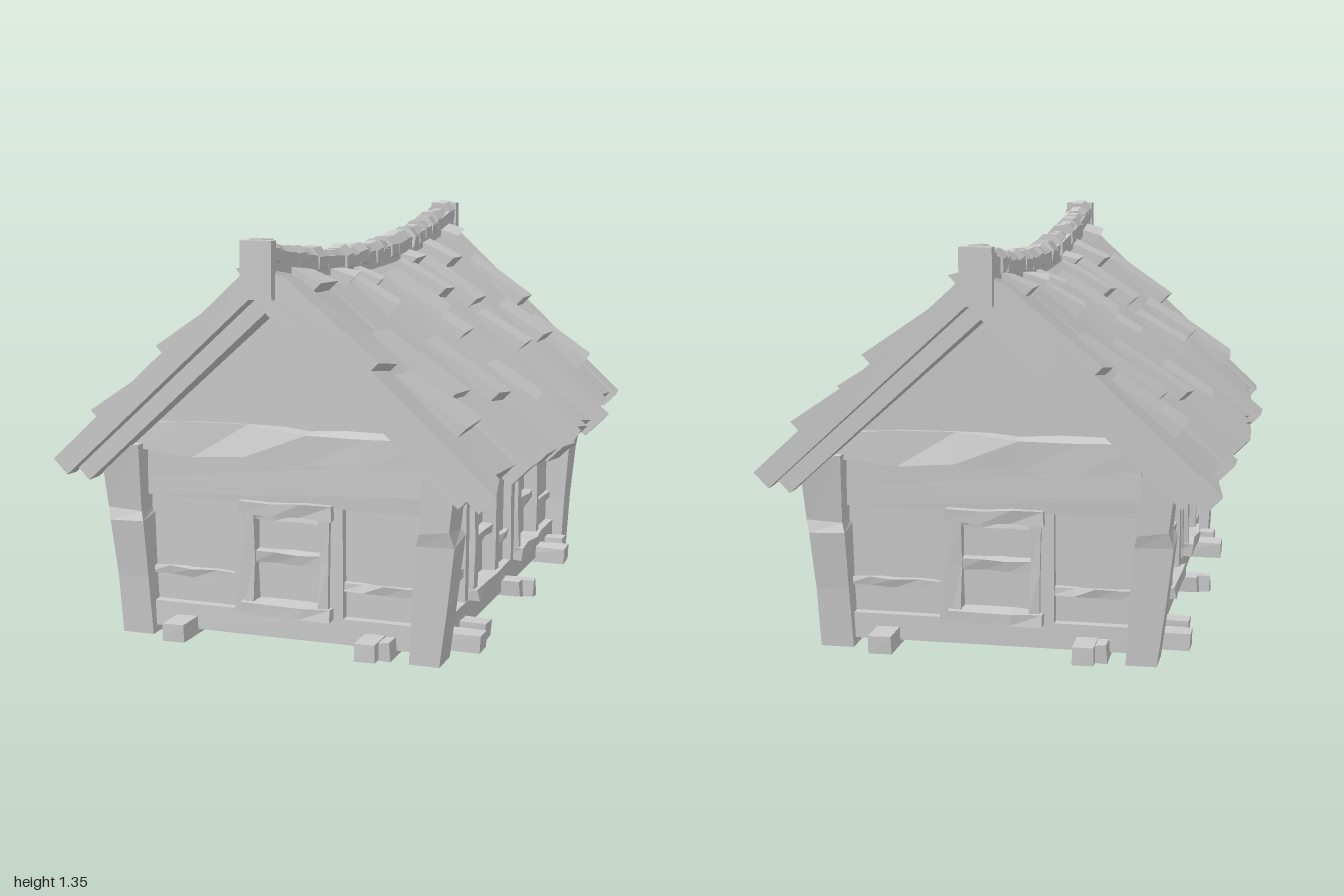
import * as THREE from 'three';

const mat = new THREE.MeshStandardMaterial({ color: 0xcccccc, flatShading: true, side: THREE.DoubleSide });
const lerp = THREE.MathUtils.lerp;

// Repeatable noise in -1..1
const noise = (a, b = 0, c = 0) => {
  const s = Math.sin(a * 127.1 + b * 311.7 + c * 74.7) * 43758.5453;
  return (s - Math.floor(s)) * 2 - 1;
};

// Move every vertex of a geometry by a rule
function bend(geo, rule) {
  const p = geo.attributes.position, v = new THREE.Vector3();
  for (let i = 0; i < p.count; i++) {
    rule(v.fromBufferAttribute(p, i));
    p.setXYZ(i, v.x, v.y, v.z);
  }
  geo.computeVertexNormals();
  return geo;
}

function add(parent, name, geo) {
  const mesh = new THREE.Mesh(geo, mat);
  mesh.name = name;
  parent.add(mesh);
  return mesh;
}

// Hand-hewn box between two corners
function hewn(parent, name, [x0, x1], [y0, y1], [z0, z1], rough = 0.004, segs = [1, 1, 1]) {
  const geo = new THREE.BoxGeometry(x1 - x0, y1 - y0, z1 - z0, ...segs);
  geo.translate((x0 + x1) / 2, (y0 + y1) / 2, (z0 + z1) / 2);
  const r = (n) => Math.round(n * 1000) / 1000;
  return add(parent, name, bend(geo, (v) => {
    const [a, b, c] = [r(v.x), r(v.y), r(v.z)];
    v.x += noise(a, b, c) * rough;
    v.y += noise(b, c, a) * rough;
    v.z += noise(c, a, b) * rough;
  }));
}

// Sagging roof surface of the +x slope
const EAVE_X = 0.76, EAVE_Y = 0.57;
const ridgeY = (z) => 1.29 - 0.09 * (1 - Math.min(1, (z / 0.97) ** 2));
const roofY = (x, z) => lerp(ridgeY(z), EAVE_Y, x / EAVE_X);
const roofX = (y, z) => EAVE_X * (ridgeY(z) - y) / (ridgeY(z) - EAVE_Y);

// Slab lying on the slope; heights are measured square to the roof
function slopeSlab(parent, name, [z0, z1], [x0, x1], low, top, nz = 1, skew = 0) {
  const geo = new THREE.BoxGeometry(1, 1, 1, 3, 1, nz);
  return add(parent, name, bend(geo, (v) => {
    const u = v.x + 0.5, w = v.z + 0.5;
    const z = lerp(z0, z1, w);
    const x = lerp(x0, x1, u) + skew * (w - 0.5) * u;
    const h = v.y < 0 ? lerp(low[0], low[1], u) : lerp(top[0], top[1], u);
    const k = x0 === 0 ? u : 1;
    v.set(x + 0.7 * h * k, roofY(x, z) + 0.71 * h * (2 - k), z);
  }));
}

function buildRoof(half) {
  const roof = new THREE.Group();
  roof.name = 'roofSlope';
  half.add(roof);
  // Long boards: z start, z end, eave x, lift at the eave
  const boards = [
    [-0.97, -0.9, 0.73, 0.01], [-0.9, -0.78, 0.71, 0], [-0.78, -0.55, 0.73, 0.005], [-0.55, -0.42, 0.765, 0.03],
    [-0.42, -0.28, 0.73, 0], [-0.28, -0.15, 0.74, 0.015], [-0.15, 0, 0.755, 0.025], [0, 0.13, 0.76, 0.02],
    [0.13, 0.27, 0.745, 0.005], [0.27, 0.47, 0.73, 0], [0.47, 0.58, 0.745, 0.03], [0.58, 0.82, 0.71, 0.005],
    [0.82, 0.97, 0.735, 0.015]];
  boards.forEach(([z0, z1, x, lift], i) =>
    slopeSlab(roof, 'roofBoard', [z0, z1], [0, x], [-0.07, -0.06], [0, lift], 2, 0.03 * noise(i, 3)));
  // Shingles: z start, z end, y of the lower edge, length down the slope
  const shingles = [
    [0.82, 0.97, 0.92, 0.3], [0.62, 0.81, 1.14, 0.12], [0.62, 0.82, 0.71, 0.2], [0.48, 0.64, 0.78, 0.25],
    [0.34, 0.46, 1.13, 0.1], [0.24, 0.33, 1.03, 0.14], [0.16, 0.23, 1.1, 0.1], [0.15, 0.26, 0.73, 0.24],
    [-0.15, 0.02, 0.97, 0.19], [-0.13, -0.01, 0.9, 0.14], [-0.13, 0, 0.68, 0.18], [-0.31, -0.23, 1.02, 0.16],
    [-0.39, -0.28, 1.13, 0.08], [-0.52, -0.4, 0.97, 0.2], [-0.5, -0.4, 0.81, 0.16], [-0.64, -0.55, 1.1, 0.12],
    [-0.78, -0.65, 0.81, 0.16], [-0.9, -0.79, 1.18, 0.07], [-0.9, -0.8, 0.93, 0.2], [-0.9, -0.78, 0.7, 0.2]];
  shingles.forEach(([z0, z1, y, len], i) => {
    const x = roofX(y, (z0 + z1) / 2) - 0.02;
    slopeSlab(roof, 'shingle', [z0, z1], [Math.max(0.02, x - len), x], [-0.02, -0.01],
      [0.012, 0.05 + 0.008 * noise(i)], 1, 0.02 * noise(i, 7));
  });
  // Rafters under both overhanging ends
  for (const s of [-1, 1])
    slopeSlab(roof, 'rafter', [s * 0.89 - 0.035, s * 0.89 + 0.035], [0, 0.71], [-0.12, -0.115], [-0.05, -0.05]);
}

// Window with frame, sill, lintel and cross bar, facing +z
function buildWindow(wall, c, z) {
  const w = new THREE.Group();
  w.name = 'window';
  wall.add(w);
  for (const s of [-1, 1]) {
    hewn(w, 'windowStud', [c + s * 0.165 - 0.025, c + s * 0.165 + 0.025], [0.1, 0.48], [z - 0.05, z], 0.002);
    hewn(w, 'windowJamb', [c + s * 0.13 - 0.018, c + s * 0.13 + 0.018], [0.14, 0.45], [z - 0.05, z + 0.018], 0.004, [1, 2, 1]);
  }
  hewn(w, 'windowSill', [c - 0.155, c + 0.155], [0.105, 0.148], [z - 0.05, z + 0.035], 0.006, [3, 1, 1]);
  hewn(w, 'windowLintel', [c - 0.16, c + 0.16], [0.44, 0.482], [z - 0.05, z + 0.03], 0.006, [3, 1, 1]);
  hewn(w, 'windowBar', [c - 0.12, c + 0.12], [0.28, 0.315], [z - 0.05, z + 0.005], 0.006, [3, 1, 1]);
  hewn(w, 'windowHead', [c - 0.12, c + 0.12], [0.42, 0.445], [z - 0.05, z + 0.008], 0.004, [3, 1, 1]);
}

// Timber wall facing +z, with windows at the given x positions
function buildWall(half, name, hw, z, windows) {
  const wall = new THREE.Group();
  wall.name = name;
  half.add(wall);
  hewn(wall, 'sillBeam', [-hw, hw], [0.025, 0.112], [z - 0.05, z], 0.002);
  hewn(wall, 'upperRail', [-hw, hw], [0.472, 0.53], [z - 0.05, z], 0.002);
  hewn(wall, 'topRail', [-hw, hw], [0.53, 0.64], [z - 0.05, z + 0.004], 0.002);
  // Mid rails fill the panels between the windows
  let from = -hw;
  for (const c of [...windows, Infinity]) {
    hewn(wall, 'midRail', [from, Math.min(hw, c - 0.18)], [0.2, 0.228], [z - 0.05, z - 0.012], 0.005, [4, 1, 1]);
    from = c + 0.18;
  }
  windows.forEach((c) => buildWindow(wall, c, z));
  return wall;
}

// Crooked corner post from rings of [y, x0, x1, z0, z1]
function buildPost(half, rings) {
  const n = rings.length - 1;
  add(half, 'cornerPost', bend(new THREE.BoxGeometry(1, 1, 1, 1, n, 1), (v) => {
    const [y, x0, x1, z0, z1] = rings[Math.round((v.y + 0.5) * n)];
    v.set(v.x < 0 ? x0 : x1, y + 0.012 * noise(v.x, v.z, y) * (y > 0 ? 1 : 0), v.z < 0 ? z0 : z1);
  }));
}

// One half: a gable end, a long wall and a roof slope
function buildHalf() {
  const half = new THREE.Group();
  half.name = 'houseHalf';
  buildRoof(half);
  buildWall(half, 'gableWall', 0.49, 0.8, [0.02]);
  buildWall(half, 'longWall', 0.78, 0.53, [-0.3, 0.28]).rotation.y = Math.PI / 2;

  // Gable triangle and rough tie beam
  const tri = new THREE.Shape([[-0.54, 0.62], [0.54, 0.62], [0.5, 0.72], [0, 1.2], [-0.5, 0.72]].map((p) => new THREE.Vector2(...p)));
  add(half, 'gable', new THREE.ExtrudeGeometry(tri, { depth: 0.04, bevelEnabled: false }).translate(0, 0, 0.745));
  hewn(half, 'tieBeam', [-0.5, 0.5], [0.625, 0.725], [0.75, 0.845], 0.012, [5, 1, 1]);

  buildPost(half, [
    [0, 0.45, 0.55, 0.735, 0.85], [0.2, 0.46, 0.577, 0.74, 0.855], [0.4, 0.475, 0.6, 0.735, 0.86],
    [0.44, 0.485, 0.585, 0.74, 0.87], [0.65, 0.5, 0.61, 0.74, 0.875]]);
  buildPost(half, [
    [0, -0.565, -0.455, 0.735, 0.83], [0.2, -0.575, -0.465, 0.74, 0.84], [0.4, -0.59, -0.47, 0.74, 0.86],
    [0.43, -0.6, -0.48, 0.735, 0.85], [0.65, -0.615, -0.475, 0.74, 0.875]]);

  // Floor beam stubs: centre, width, reach
  for (const [x, w, z] of [[-0.345, 0.08, 0.91], [0.32, 0.065, 0.91], [0.37, 0.04, 0.87]])
    hewn(half, 'floorBeamEnd', [x - w / 2, x + w / 2], [0.01, 0.068], [0.6, z], 0.004);
  for (const [z, w, x] of [[0.66, 0.075, 0.64], [0.525, 0.07, 0.62], [0.02, 0.035, 0.6], [-0.015, 0.035, 0.64],
    [-0.51, 0.075, 0.64], [-0.645, 0.065, 0.6]])
    hewn(half, 'floorBeamEnd', [0.35, x], [0.01, 0.068], [z - w / 2, z + w / 2], 0.004);

  // Ridge end block
  hewn(half, 'ridgeEnd', [-0.052, 0.052], [1.16, 1.342], [0.96, 1], 0);
  return half;
}

export function createModel() {
  const house = new THREE.Group();
  house.name = 'house';

  // Closed body behind the timbers
  add(house, 'body', new THREE.BoxGeometry(1, 0.64, 1.54).translate(0, 0.34, 0));

  // The two halves match after a half turn
  const front = buildHalf(), back = front.clone();
  back.rotation.y = Math.PI;
  house.add(front, back);

  // Sagging ridge beam with uneven caps
  const beam = new THREE.BoxGeometry(0.085, 0.09, 1.94, 1, 1, 16);
  add(house, 'ridgeBeam', bend(beam, (v) => { v.y += ridgeY(v.z) - 0.015; }));
  const caps = 24;
  for (let i = 0; i < caps; i++) {
    const z = lerp(-0.95, 0.95, i / (caps - 1)), r = 0.047 + 0.006 * noise(i, 1);
    const geo = new THREE.CylinderGeometry(r, r + 0.007 * noise(i, 5), 0.074 + 0.008 * noise(i, 2), 8);
    geo.rotateY(Math.PI / 8).rotateX(Math.PI / 2);
    const cap = add(house, 'ridgeCap', geo);
    cap.position.set(0.004 * noise(i, 4), ridgeY(z) + 0.012, z);
    cap.rotation.set(0.12 * noise(i, 6), 0.1 * noise(i, 8), 0.15 * noise(i, 9));
  }
  return house;
}
